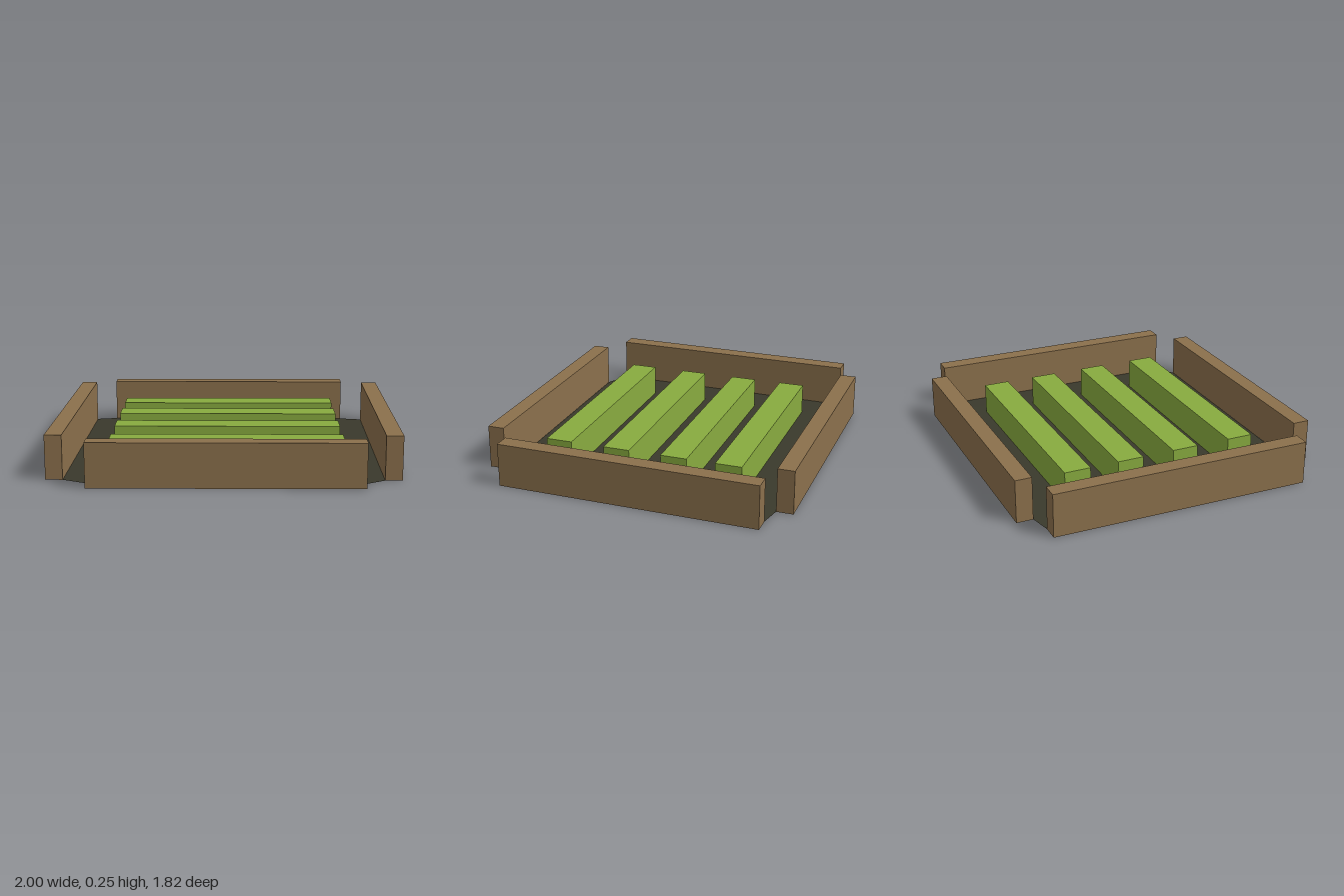
import * as THREE from 'three';

export function createModel() {
  const model = new THREE.Group();
  model.name = 'gardenBed';

  const wood = new THREE.MeshStandardMaterial({ color: 0x8b704c });
  wood.name = 'wood';
  const leaf = new THREE.MeshStandardMaterial({ color: 0x88ab3f });
  leaf.name = 'leafGreen';
  const soil = new THREE.MeshStandardMaterial({ color: 0x3a392c, side: THREE.DoubleSide });
  soil.name = 'soil';

  // Box standing on height y
  function block(name, w, h, d, x, y, z, material, turn = 0) {
    const mesh = new THREE.Mesh(new THREE.BoxGeometry(w, h, d), material);
    mesh.name = name;
    mesh.position.set(x, y + h / 2, z);
    mesh.rotation.y = turn;
    model.add(mesh);
  }

  // Frame boards, the side pair slightly skewed
  const height = 0.255, thick = 0.097, length = 1.527;
  block('frontBoard', length, height, thick, 0.005, 0, 0.861, wood);
  block('backBoard', length, height, thick, 0.005, 0, -0.865, wood);
  block('leftBoard', thick, height, length, 0.943, 0, -0.025, wood, -0.0112);
  block('rightBoard', thick, height, length, -0.943, 0, -0.025, wood, -0.0112);

  // Soil sheet spanning the inner corners of the boards
  const outline = [
    [-0.758, 0.812], [0.768, 0.812], [0.886, 0.738], [0.903, -0.788],
    [0.768, -0.816], [-0.758, -0.816], [-0.886, -0.788], [-0.903, 0.738],
  ].map(([x, z]) => new THREE.Vector2(x, -z));
  const bed = new THREE.Mesh(new THREE.ShapeGeometry(new THREE.Shape(outline)), soil);
  bed.name = 'soilBed';
  bed.rotation.x = -Math.PI / 2;
  model.add(bed);

  // Rows of plants
  [-0.515, -0.193, 0.152, 0.507].forEach((z, i) => {
    block(`plantRow${i + 1}`, 1.34, 0.185, 0.155, 0.006, 0.003, z, leaf);
  });

  return model;
}
